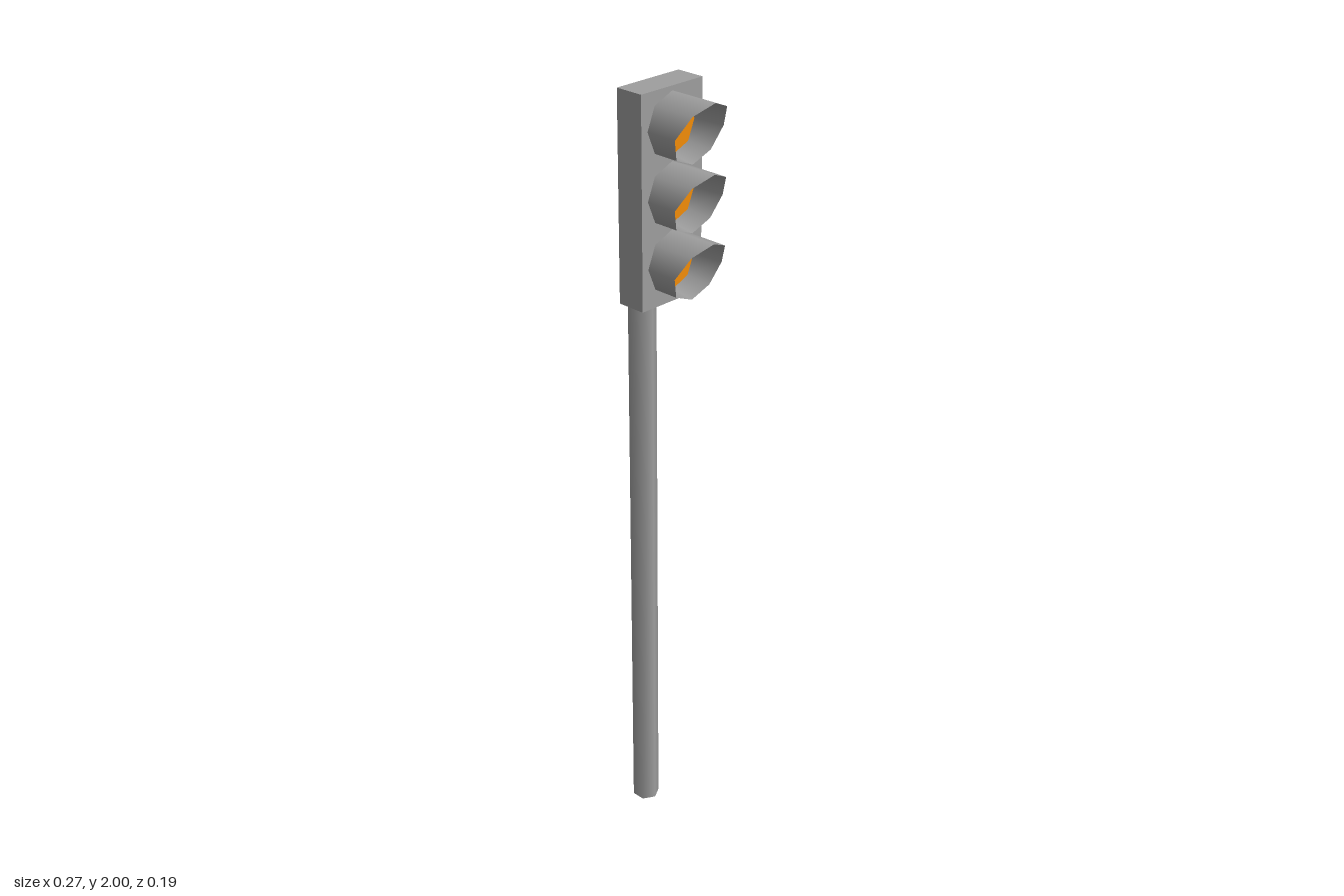
import * as THREE from 'three';

const grey = new THREE.MeshStandardMaterial({ color: 0x9e9e9e });
const greyOpen = new THREE.MeshStandardMaterial({ color: 0x9e9e9e, side: THREE.DoubleSide });
const amber = new THREE.MeshStandardMaterial({ color: 0xf38d08 });

function part(name, geometry, material, parent) {
  const mesh = new THREE.Mesh(geometry, material);
  mesh.name = name;
  parent.add(mesh);
  return mesh;
}

// Eight-sided tube along +x whose front rim is cut in a curve, long at the top
function visorWall(baseX, baseRadius, rimRadius) {
  const g = new THREE.CylinderGeometry(rimRadius, baseRadius, 0.08, 8, 1, true);
  g.rotateZ(-Math.PI / 2);
  const p = g.attributes.position;
  for (let i = 0; i < p.count; i++) {
    const c = p.getY(i) / rimRadius;
    p.setX(i, p.getX(i) > 0 ? 0.09 + 0.0335 * c + 0.0135 * c * c : baseX);
  }
  return g;
}

// Strap around the pole with two feet against the housing
function bracketGeometry(height) {
  const half = [
    [-0.067, 0.062], [-0.072, 0.062], [-0.072, 0.042], [-0.113, 0.042], [-0.137, 0],
  ];
  const inner = [[-0.127, 0], [-0.109, 0.033], [-0.067, 0.033]];
  const mirror = (pts) => pts.map(([x, z]) => [x, -z]).reverse();
  const outline = [...half, ...mirror(half).slice(1), ...mirror(inner), ...inner.slice(1)];
  const shape = new THREE.Shape(outline.map(([x, z]) => new THREE.Vector2(x, z)));
  const g = new THREE.ExtrudeGeometry(shape, { depth: height, bevelEnabled: false });
  return g.rotateX(-Math.PI / 2);
}

export function createModel() {
  const model = new THREE.Group();
  model.name = 'trafficLight';

  // Six-sided hollow pole, open at the foot and capped at the top
  const poleHeight = 1.941;
  const tube = new THREE.CylinderGeometry(0.035, 0.035, poleHeight, 6, 1, true).rotateY(Math.PI / 6);
  part('pole', tube, greyOpen, model).position.set(-0.0925, poleHeight / 2, 0);
  const cap = new THREE.CircleGeometry(0.035, 6).rotateX(-Math.PI / 2);
  part('poleCap', cap, grey, model).position.set(-0.0925, poleHeight, 0);

  // Housing, facing +x
  const housing = new THREE.BoxGeometry(0.075, 0.51, 0.192);
  part('housing', housing, grey, model).position.set(-0.031, 1.745, 0);

  // Three lamps: visor and recessed lens
  [1.912, 1.751, 1.589].forEach((y) => {
    const lamp = new THREE.Group();
    lamp.name = 'lamp';
    lamp.position.y = y;
    part('visorOuter', visorWall(0.006, 0.077, 0.077), grey, lamp);
    part('visorInner', visorWall(0.008, 0.068, 0.077), greyOpen, lamp);
    part('lens', new THREE.CircleGeometry(0.068, 8).rotateY(Math.PI / 2), amber, lamp).position.x = 0.009;
    model.add(lamp);
  });

  // Two pole brackets
  [1.553, 1.833].forEach((y) => {
    part('bracket', bracketGeometry(0.032), grey, model).position.y = y;
  });

  return model;
}
